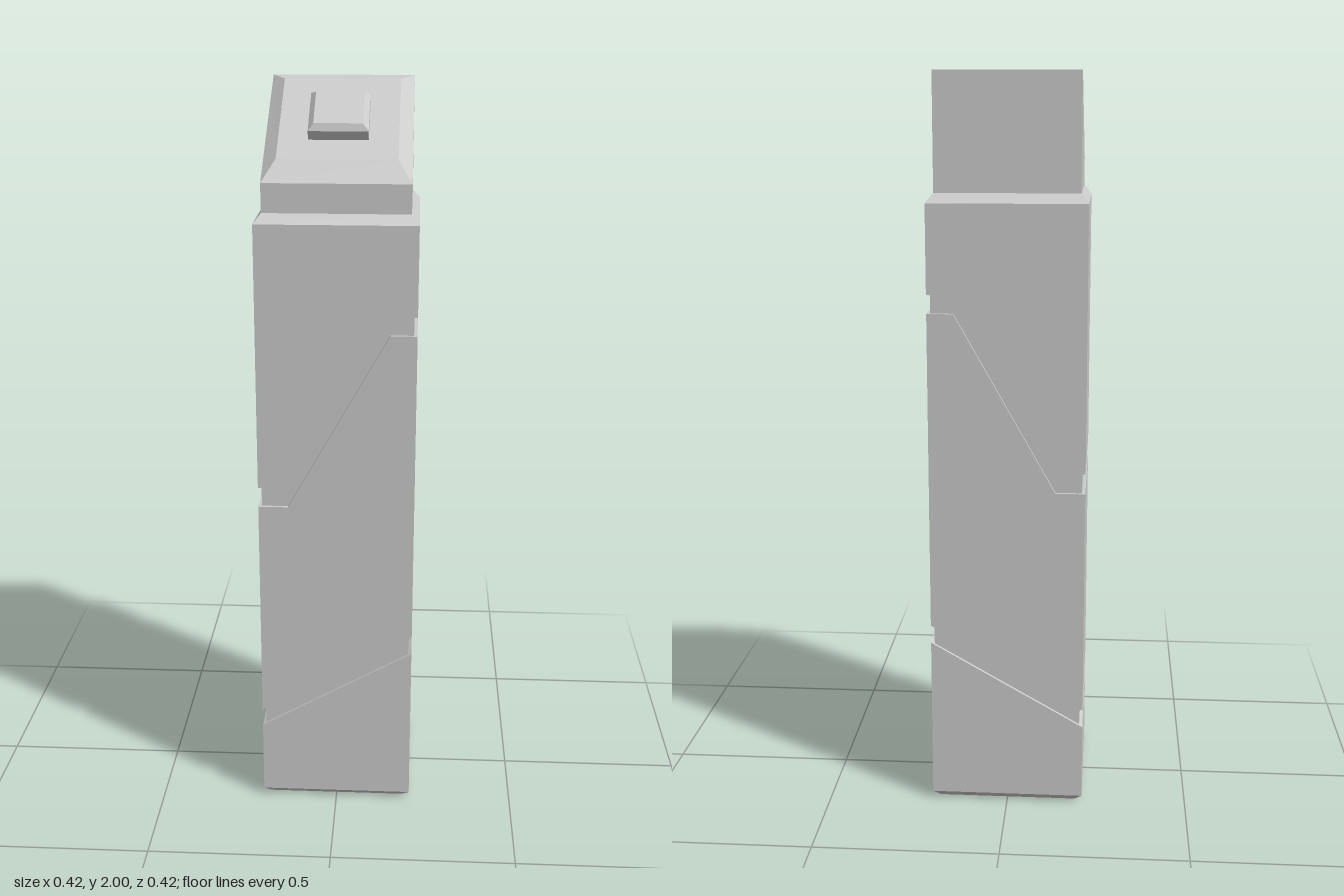
import * as THREE from 'three';

const material = new THREE.MeshStandardMaterial({ color: 0xcccccc, flatShading: true });
const HALF = 0.21; // half width of the body

// Four-cornered ring; the front and back edges may sit at different heights.
function ring(halfX, zFront, zBack, yFront, yBack = yFront) {
  return [[halfX, yFront, zFront], [halfX, yBack, zBack], [-halfX, yBack, zBack], [-halfX, yFront, zFront]];
}
const square = (half, y) => ring(half, half, -half, y);

// Skin a stack of rings, closing both ends.
function loft(rings) {
  const positions = [];
  const quad = (a, b, c, d) => positions.push(...a, ...b, ...c, ...a, ...c, ...d);
  for (let r = 0; r < rings.length - 1; r++) {
    for (let i = 0; i < 4; i++) {
      const j = (i + 1) % 4;
      quad(rings[r][i], rings[r][j], rings[r + 1][j], rings[r + 1][i]);
    }
  }
  quad(...[...rings[0]].reverse());
  quad(...rings[rings.length - 1]);
  const geometry = new THREE.BufferGeometry();
  geometry.setAttribute('position', new THREE.Float32BufferAttribute(positions, 3));
  geometry.computeVertexNormals();
  return geometry;
}

// Body section: an outline in x and y, running the full depth.
function section(points) {
  const shape = new THREE.Shape(points.map(([x, y]) => new THREE.Vector2(x, y)));
  const geometry = new THREE.ExtrudeGeometry(shape, { depth: 2 * HALF, bevelEnabled: false });
  return geometry.translate(0, 0, -HALF);
}

export function createModel() {
  const model = new THREE.Group();
  model.name = 'slantTopCanister';
  const add = (name, geometry) => {
    const mesh = new THREE.Mesh(geometry, material);
    mesh.name = name;
    model.add(mesh);
    return mesh;
  };

  // Recessed core that forms the floor of the grooves
  add('grooveCore', new THREE.BoxGeometry(0.402, 1.6, 0.402).translate(0, 0.84, 0));

  // Three body sections separated by the two grooves
  add('lowerBody', section([[-HALF, 0.02], [HALF, 0.02], [HALF, 0.47], [-HALF, 0.23]]));
  add('middleBody', section([
    [-HALF, 0.28], [HALF, 0.52], [HALF, 1.385], [0.14, 1.385], [-0.13, 0.905], [-HALF, 0.905],
  ]));
  add('upperBody', section([
    [-HALF, 0.96], [-0.15, 0.96], [0.127, 1.435], [HALF, 1.435], [HALF, 1.67], [-HALF, 1.67],
  ]));

  // Bevels at the foot and shoulder
  add('footBevel', loft([square(0.19, 0), square(HALF, 0.02)]));
  add('shoulderBevel', loft([square(HALF, 1.67), square(0.19, 1.695)]));

  // Neck with a slanted, bevelled top
  add('slantedHead', loft([
    square(0.19, 1.69),
    ring(0.19, 0.19, -0.19, 1.77, 2),
    ring(0.154, 0.152, -0.127, 1.825, 1.995),
  ]));

  // Bevelled button standing square to the slanted top
  const button = add('button', loft([square(0.077, -0.005), square(0.077, 0.027), square(0.063, 0.0415)]));
  button.position.set(0, 1.904, 0.0225);
  button.rotation.x = Math.atan(0.61);

  return model;
}
